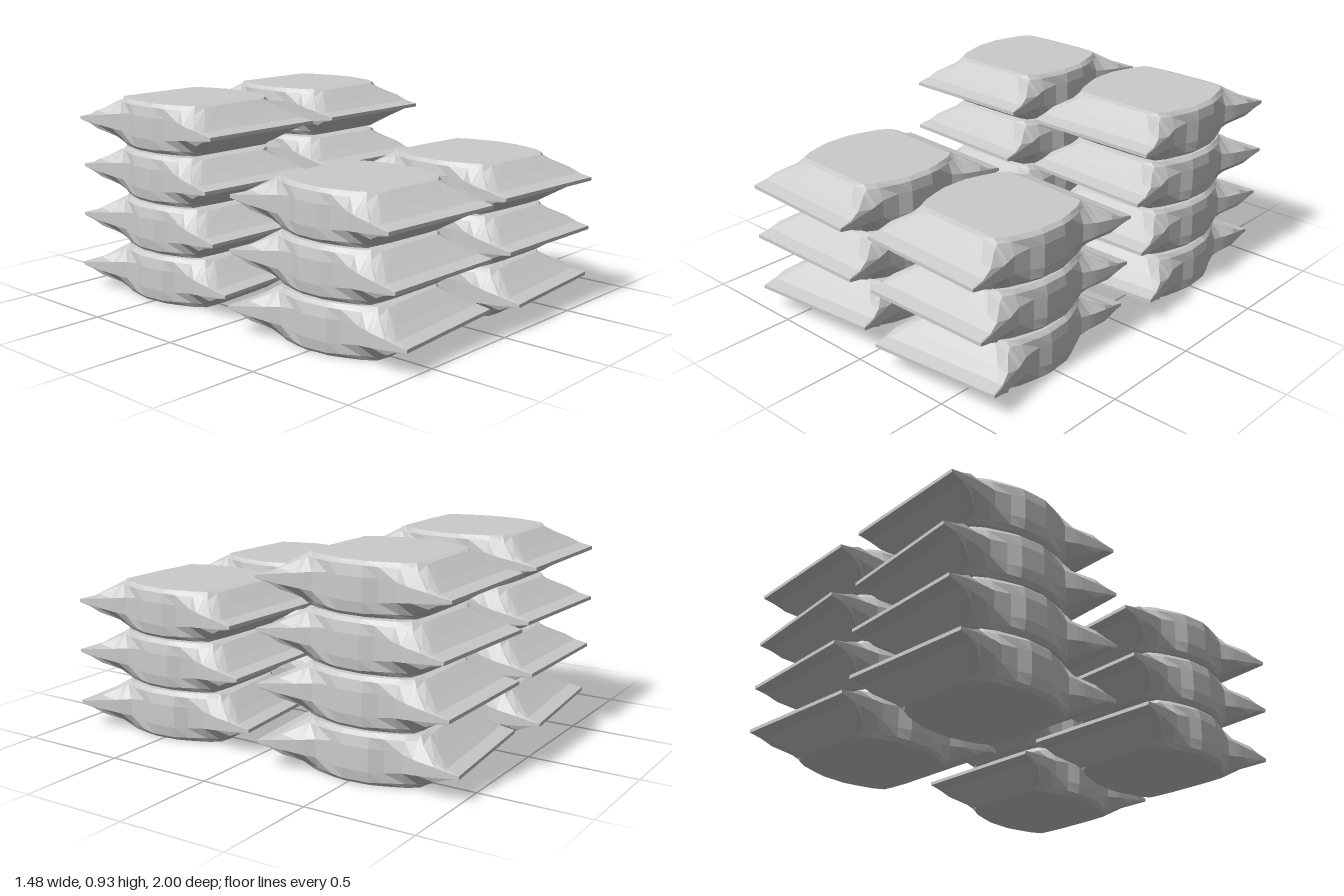
import * as THREE from 'three';

// Sack cross-sections from the middle to the sewn end:
// z, then x,y of four points: top crease, top edge, shoulder, side
const SECTIONS = [
  [0.06, 0.15, 0.113, 0.285, 0.113, 0.303, 0.097, 0.311, 0.05],
  [0.12, 0.15, 0.113, 0.27, 0.113, 0.287, 0.094, 0.289, 0.05],
  [0.20, 0.15, 0.113, 0.245, 0.113, 0.258, 0.092, 0.28, 0.04],
  [0.25, 0.12, 0.113, 0.215, 0.113, 0.235, 0.094, 0.293, 0.034],
  [0.275, 0.10, 0.107, 0.18, 0.105, 0.245, 0.08, 0.298, 0.03],
  [0.35, 0.14, 0.054, 0.25, 0.054, 0.30, 0.044, 0.308, 0.022],
  [0.40, 0.15, 0.022, 0.29, 0.022, 0.312, 0.02, 0.314, 0.014],
  [0.46, 0.16, 0.008, 0.30, 0.008, 0.315, 0.008, 0.318, 0.007],
];

function sackGeometry() {
  const mirrored = SECTIONS.map(([z, ...p]) => [-z, ...p]).reverse();
  const rows = [...mirrored, ...SECTIONS];
  const positions = [], index = [];
  const n = 16;

  // Mirror each quarter section into a full closed ring
  for (const [z, ...p] of rows) {
    const quarter = [[p[6], p[7]], [p[4], p[5]], [p[2], p[3]], [p[0], p[1]]];
    const top = [...quarter, ...quarter.map(([x, y]) => [-x, y]).reverse()];
    const ring = [...top, ...top.map(([x, y]) => [-x, -y])];
    for (const [x, y] of ring) positions.push(x, y, z);
  }

  // Skin between neighbouring rings
  for (let i = 0; i < rows.length - 1; i++) {
    for (let j = 0; j < n; j++) {
      const a = i * n + j, b = i * n + (j + 1) % n;
      index.push(a, b, b + n, a, b + n, a + n);
    }
  }

  // Thin end caps
  const last = (rows.length - 1) * n;
  for (let j = 1; j < n - 1; j++) {
    index.push(0, j + 1, j);
    index.push(last, last + j, last + j + 1);
  }

  const indexed = new THREE.BufferGeometry();
  indexed.setAttribute('position', new THREE.Float32BufferAttribute(positions, 3));
  indexed.setIndex(index);
  const geometry = indexed.toNonIndexed();
  geometry.computeVertexNormals();
  return geometry;
}

export function createModel() {
  const model = new THREE.Group();
  model.name = 'sackStacks';
  const material = new THREE.MeshStandardMaterial({ color: 0xcccccc, flatShading: true });
  const geometry = sackGeometry();
  const turns = [0.09, 0, -0.05, 0]; // slight twist of each layer

  // Two tall stacks at the back, two shorter ones at the front
  for (const [row, z, layers] of [['back', -0.513, 4], ['front', 0.513, 3]]) {
    for (const [side, x] of [['Right', -0.384], ['Left', 0.384]]) {
      const stack = new THREE.Group();
      stack.name = `${row}${side}Stack`;
      stack.position.set(x, 0, z);
      for (let i = 0; i < layers; i++) {
        const sack = new THREE.Mesh(geometry, material);
        sack.name = `sack${i + 1}`;
        sack.position.y = 0.113 + i * 0.235;
        sack.rotation.y = turns[i];
        stack.add(sack);
      }
      model.add(stack);
    }
  }
  return model;
}
